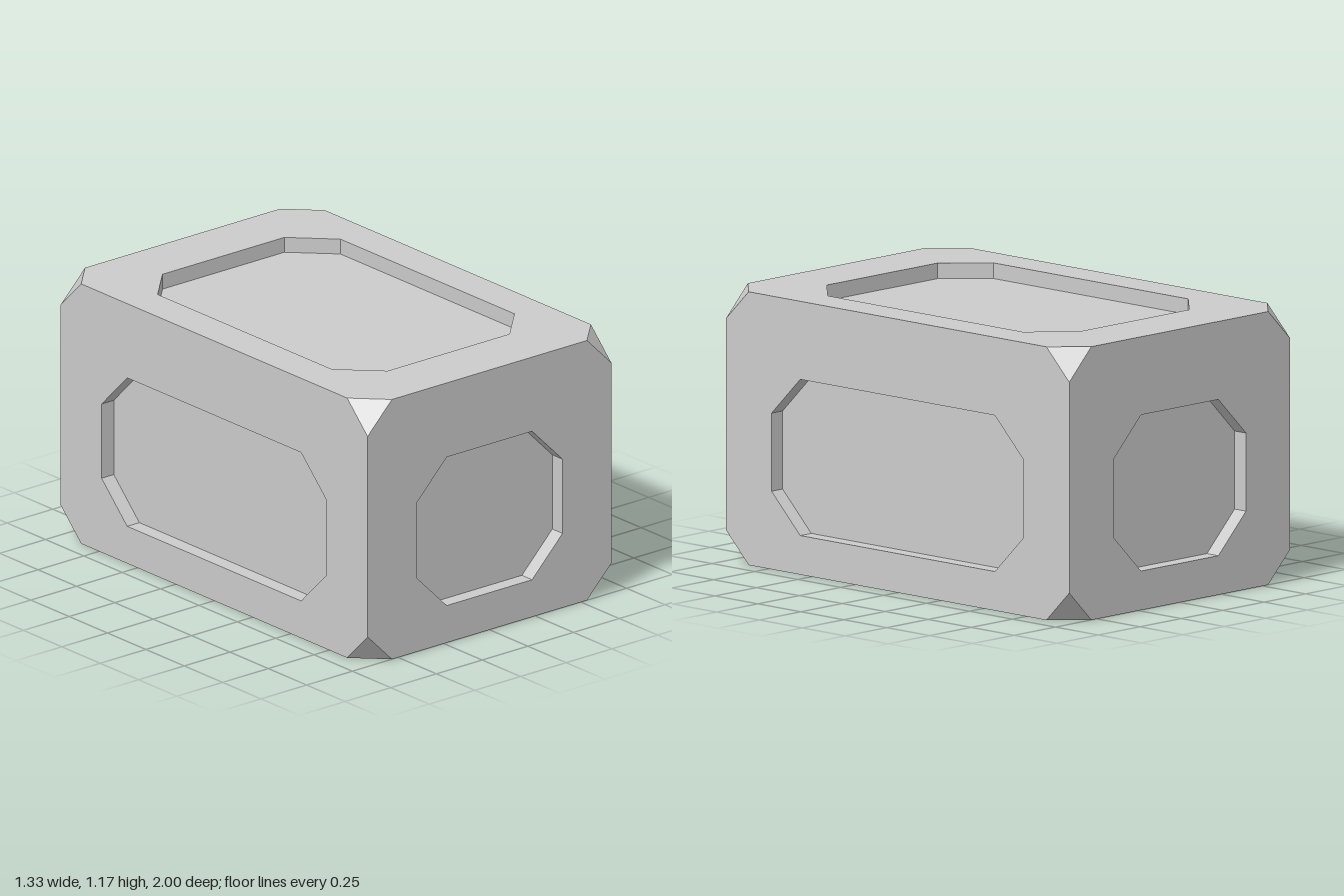
import * as THREE from 'three';

const W = 1.3333, H = 1.1667, D = 2;      // crate size
const CUT = 0.1333;                       // corner cut
const RECESS_CUT = 0.1667, DEPTH = 0.0667;

const material = new THREE.MeshStandardMaterial({ color: 0xcccccc, flatShading: true });

// Counter-clockwise rectangle with cut corners
function octagon(w, h, c, cy = 0) {
  const x = w / 2, y = h / 2;
  return [
    [x, -y + c], [x, y - c], [x - c, y], [-x + c, y],
    [-x, y - c], [-x, -y + c], [-x + c, -y], [x - c, -y],
  ].map(([px, py]) => new THREE.Vector2(px, py + cy));
}

function addMesh(parent, name, geometry) {
  const mesh = new THREE.Mesh(geometry, material);
  mesh.name = name;
  parent.add(mesh);
  return mesh;
}

function fromTriangles(points) {
  const geometry = new THREE.BufferGeometry().setFromPoints(points);
  geometry.computeVertexNormals();
  return geometry;
}

// One side of the crate, facing +z, with an optional sunken panel
function makeSide(name, w, h, recess) {
  const side = new THREE.Group();
  side.name = name;
  const frame = new THREE.Shape(octagon(w, h, CUT));
  if (recess) {
    const outline = octagon(recess.w, recess.h, RECESS_CUT, recess.cy);
    frame.holes.push(new THREE.Path(outline));

    // Inward-facing walls of the recess
    const walls = [];
    outline.forEach((a, i) => {
      const b = outline[(i + 1) % outline.length];
      const a0 = new THREE.Vector3(a.x, a.y, 0), b0 = new THREE.Vector3(b.x, b.y, 0);
      const a1 = new THREE.Vector3(a.x, a.y, -DEPTH), b1 = new THREE.Vector3(b.x, b.y, -DEPTH);
      walls.push(a0, b0, b1, a0, b1, a1);
    });
    addMesh(side, 'recessWalls', fromTriangles(walls));

    // Floor of the recess
    const floor = addMesh(side, 'recessFloor', new THREE.ShapeGeometry(new THREE.Shape(outline)));
    floor.position.z = -DEPTH;
  }
  addMesh(side, 'frame', new THREE.ShapeGeometry(frame));
  return side;
}

export function createModel() {
  const model = new THREE.Group();
  model.name = 'crate';
  const body = new THREE.Group();
  body.name = 'body';
  body.position.y = H / 2;
  model.add(body);

  // Six sides; the upright ones have panels sitting slightly low
  const endRecess = { w: 0.8, h: 0.6667, cy: 0.5 - H / 2 };
  const longRecess = { w: 1.4667, h: 0.6667, cy: 0.5 - H / 2 };
  const topRecess = { w: 1, h: 1.4667, cy: 0 };
  const sides = [
    ['frontSide', W, H, endRecess, [0, 0, D / 2], [0, 0]],
    ['backSide', W, H, endRecess, [0, 0, -D / 2], [0, Math.PI]],
    ['leftSide', D, H, longRecess, [W / 2, 0, 0], [0, Math.PI / 2]],
    ['rightSide', D, H, longRecess, [-W / 2, 0, 0], [0, -Math.PI / 2]],
    ['topSide', W, D, topRecess, [0, H / 2, 0], [-Math.PI / 2, 0]],
    ['bottomSide', W, D, null, [0, -H / 2, 0], [Math.PI / 2, 0]],
  ];
  for (const [name, w, h, recess, position, [rx, ry]] of sides) {
    const side = makeSide(name, w, h, recess);
    side.position.set(...position);
    side.rotation.set(rx, ry, 0);
    body.add(side);
  }

  // Triangular facets on the eight cut corners
  const corners = [];
  for (const sx of [-1, 1]) for (const sy of [-1, 1]) for (const sz of [-1, 1]) {
    const x = W / 2, y = H / 2, z = D / 2;
    const tri = [[x - CUT, y, z], [x, y - CUT, z], [x, y, z - CUT]]
      .map(([px, py, pz]) => new THREE.Vector3(px * sx, py * sy, pz * sz));
    // Mirroring an odd number of times flips the winding
    if (sx * sy * sz < 0) tri.reverse();
    corners.push(...tri);
  }
  addMesh(body, 'cutCorners', fromTriangles(corners));

  return model;
}
